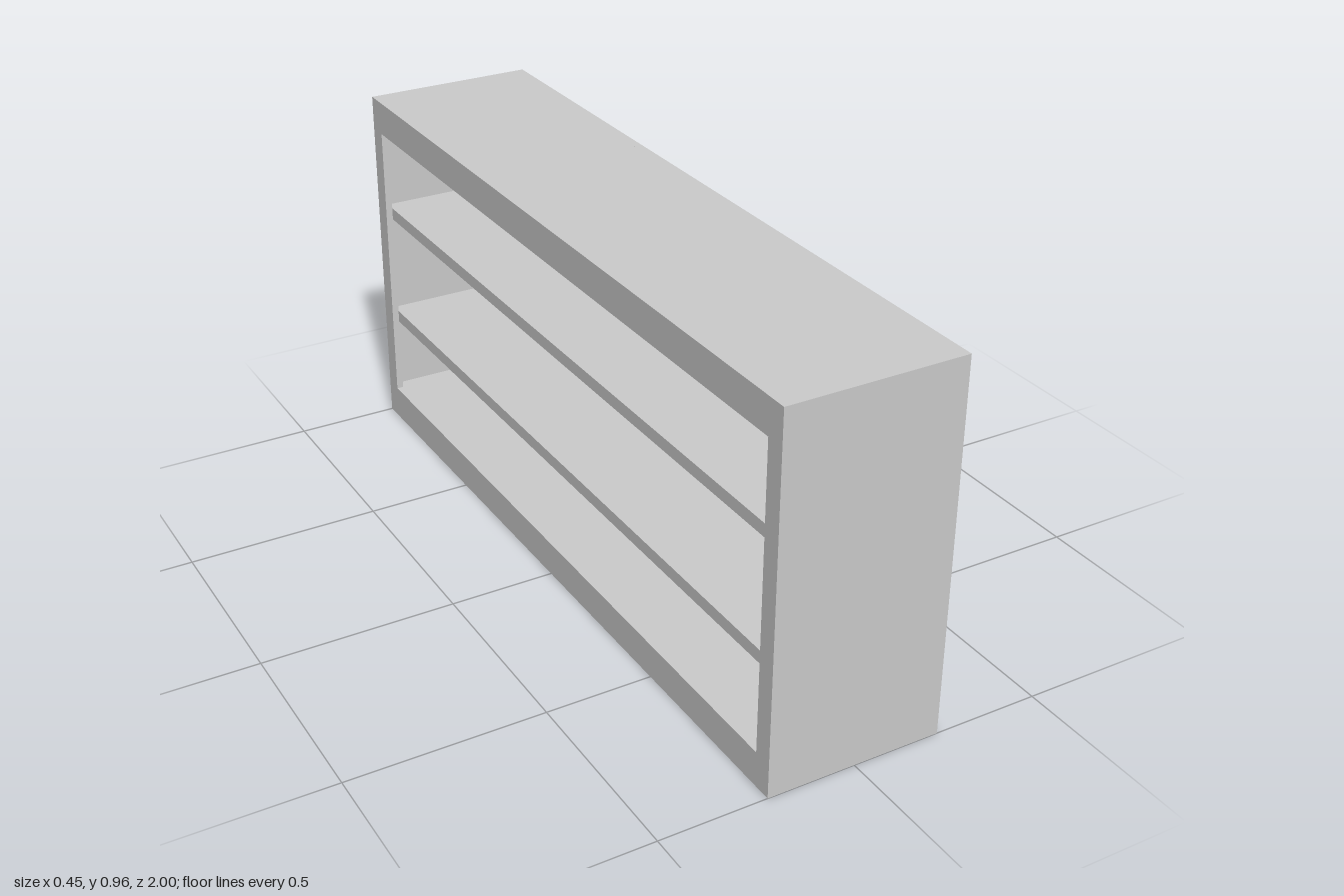
import * as THREE from 'three';

const W = 0.453, H = 0.957, L = 2; // depth along x, height, length along z
const WALL = 0.02, FRAME = 0.018, STILE = 0.05, RAIL = 0.09, SHELF = 0.033;

export function createModel() {
  const group = new THREE.Group();
  group.name = 'bookcase';
  const material = new THREE.MeshStandardMaterial({ color: 0xcccccc, flatShading: true });

  // Box given by its lower and upper corners
  const board = (name, x0, x1, y0, y1, z0, z1) => {
    const mesh = new THREE.Mesh(new THREE.BoxGeometry(x1 - x0, y1 - y0, z1 - z0), material);
    mesh.position.set((x0 + x1) / 2, (y0 + y1) / 2, (z0 + z1) / 2);
    mesh.name = name;
    group.add(mesh);
  };

  const open = -W / 2, inner = open + FRAME; // open side faces -x
  const back = W / 2 - WALL, end = L / 2 - WALL;

  // Closed panel, base and top
  board('backPanel', back, W / 2, 0, H, -L / 2, L / 2);
  board('base', inner, back, 0, RAIL, -end, end);
  board('top', inner, back, H - RAIL, H, -end, end);

  // End panels
  board('endPanelFront', inner, back, 0, H, end, L / 2);
  board('endPanelBack', inner, back, 0, H, -L / 2, -end);

  // Face frame round the opening
  const shape = new THREE.Shape([[-1, 0], [1, 0], [1, H], [-1, H]].map(p => new THREE.Vector2(...p)));
  const s = L / 2 - STILE;
  shape.holes.push(new THREE.Path([[-s, RAIL], [-s, H - RAIL], [s, H - RAIL], [s, RAIL]].map(p => new THREE.Vector2(...p))));
  const frame = new THREE.Mesh(new THREE.ExtrudeGeometry(shape, { depth: FRAME, bevelEnabled: false }), material);
  frame.rotation.y = Math.PI / 2;
  frame.position.x = open;
  frame.name = 'faceFrame';
  group.add(frame);

  // Shelves
  [0.333, 0.647].forEach((y, i) => board(`shelf${i + 1}`, inner, back, y - SHELF, y, -end, end));

  return group;
}
